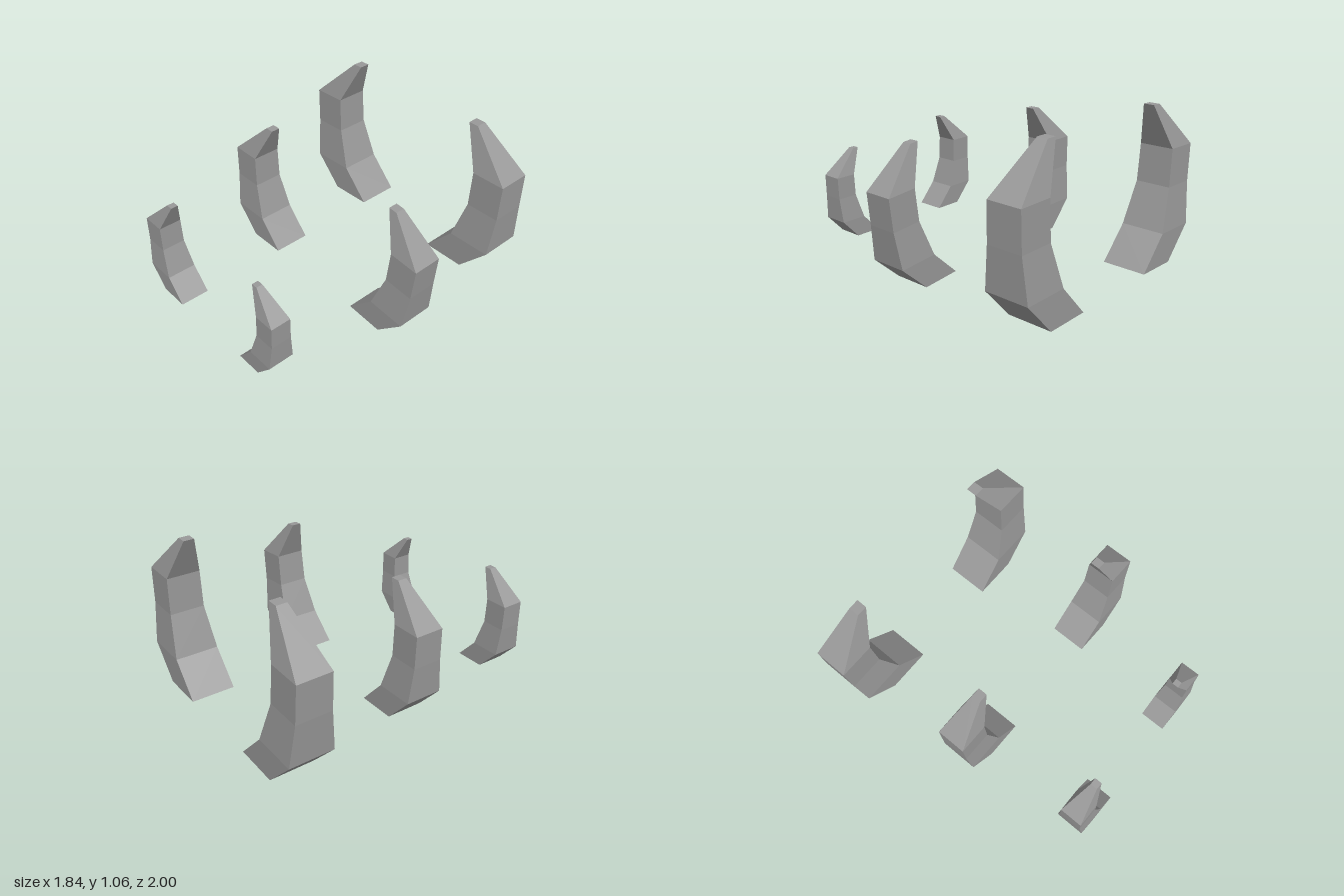
import * as THREE from 'three';

// Claw cross-sections from base to tip: [outer x, inner x, height, half depth]
const SECTIONS = [
  [0, -0.305, 0, 0.151],
  [0.205, -0.105, 0.222, 0.15],
  [0.224, -0.018, 0.51, 0.12],
  [0.23, -0.01, 0.765, 0.116],
  [-0.08, -0.15, 1.055, 0.036],
];

// side is +1 for the model's left (+x) and -1 for its right
function clawGeometry(side, scale, lean) {
  const c = Math.cos(lean), s = Math.sin(lean);
  const rings = SECTIONS.map(([outer, inner, y, d]) =>
    [[outer, d], [outer, -d], [inner, -d], [inner, d]].map(([x, z]) => [
      side * scale * (x * c + y * s),
      scale * (y * c - x * s),
      scale * z,
    ]));
  const positions = [];
  const quad = (a, b, e, f) => {
    const corners = side > 0 ? [a, b, e, a, e, f] : [a, e, b, a, f, e];
    corners.forEach((p) => positions.push(...p));
  };
  // Four walls between neighbouring sections
  for (let i = 0; i < rings.length - 1; i++) {
    const lo = rings[i], hi = rings[i + 1];
    for (let k = 0; k < 4; k++) {
      const n = (k + 1) % 4;
      quad(lo[k], lo[n], hi[n], hi[k]);
    }
  }
  // Flat base and blunt tip
  const base = rings[0], tip = rings[rings.length - 1];
  quad(base[3], base[2], base[1], base[0]);
  quad(tip[0], tip[1], tip[2], tip[3]);

  const geometry = new THREE.BufferGeometry();
  geometry.setAttribute('position', new THREE.Float32BufferAttribute(positions, 3));
  geometry.computeVertexNormals();
  return geometry;
}

export function createModel() {
  const model = new THREE.Group();
  model.name = 'clawSet';
  const grey = new THREE.MeshStandardMaterial({ color: 0x999999 });
  grey.name = 'stone grey';

  // name, side, scale, lean, position of the outer base edge
  const claws = [
    ['backRightClaw', -1, 1, 0.034, -0.667, 0.005, -0.847],
    ['backLeftClaw', 1, 1, 0, 0.605, 0.005, -0.847],
    ['middleRightClaw', -1, 0.85, 0, -0.605, 0.025, 0.045],
    ['middleLeftClaw', 1, 0.85, 0.085, 0.667, 0.003, 0.045],
    ['frontRightClaw', -1, 0.659, 0, -0.52, 0.045, 0.9],
    ['frontLeftClaw', 1, 0.583, 0, 0.472, 0.05, 0.898],
  ];
  for (const [name, side, scale, lean, x, y, z] of claws) {
    const claw = new THREE.Mesh(clawGeometry(side, scale, lean), grey);
    claw.name = name;
    claw.position.set(x, y, z);
    model.add(claw);
  }
  return model;
}
